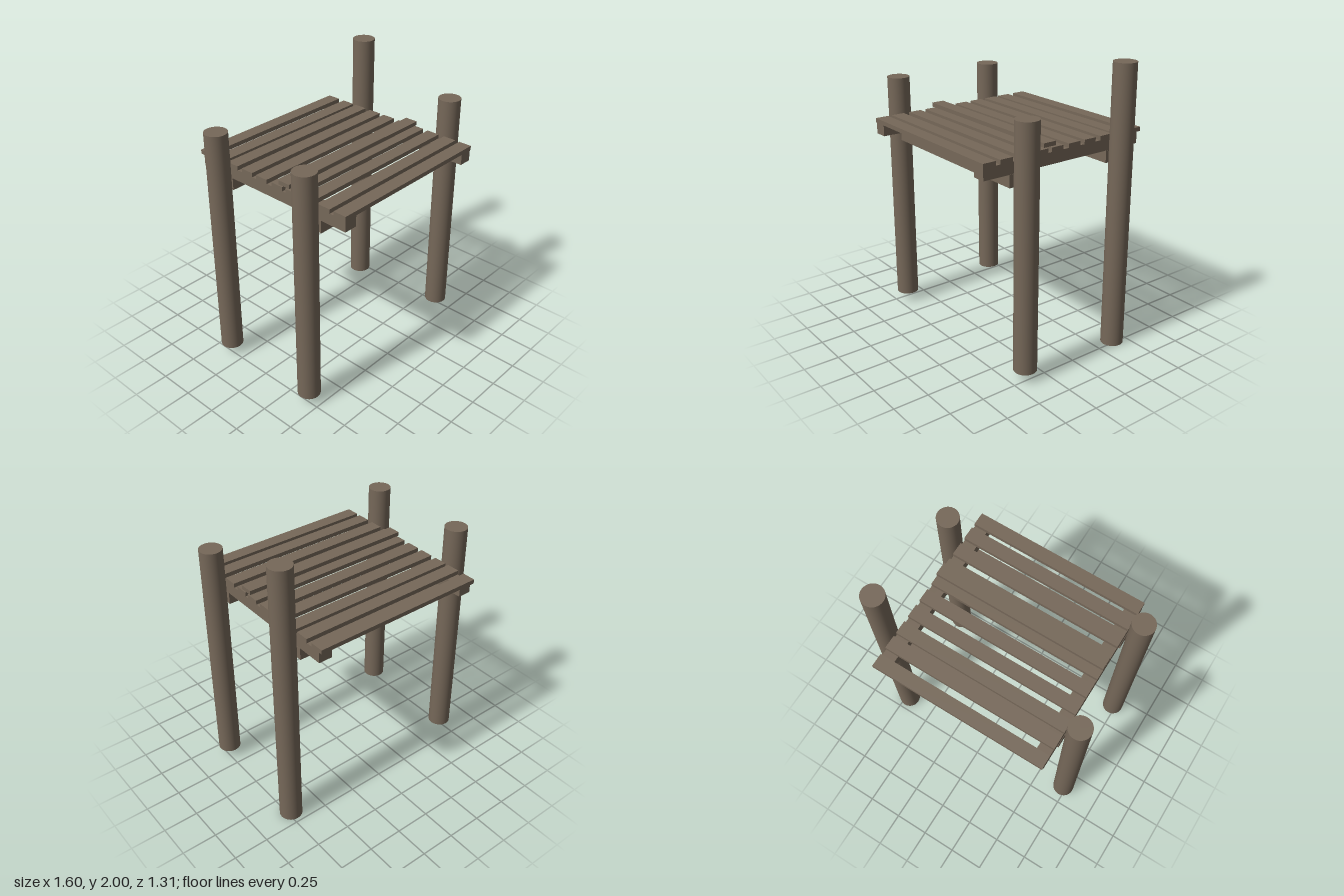
import * as THREE from 'three';

export function createModel() {
  const model = new THREE.Group();
  const wood = new THREE.MeshStandardMaterial({ color: 0x766859 });
  wood.name = 'weathered wood';

  // Box from its min and max corners
  const board = (name, [x0, y0, z0], [x1, y1, z1]) => {
    const mesh = new THREE.Mesh(new THREE.BoxGeometry(x1 - x0, y1 - y0, z1 - z0), wood);
    mesh.position.set((x0 + x1) / 2, (y0 + y1) / 2, (z0 + z1) / 2);
    mesh.name = name;
    model.add(mesh);
  };

  // Round log posts, one of them longer at both ends
  const post = (name, x, z, y0 = 0.068, y1 = 1.757) => {
    const mesh = new THREE.Mesh(new THREE.CylinderGeometry(0.079, 0.079, y1 - y0, 32), wood);
    mesh.position.set(x, (y0 + y1) / 2, z);
    mesh.name = name;
    model.add(mesh);
  };
  post('frontRightPost', -0.725, 0.406);
  post('backRightPost', -0.725, -0.377);
  post('frontLeftPost', 0.721, 0.39);
  post('tallBackLeftPost', 0.721, -0.395, 0, 2);

  // Cross beams resting between the posts
  board('frontBeam', [-0.638, 1.312, 0.36], [0.632, 1.398, 0.452]);
  board('backBeam', [-0.638, 1.312, -0.44], [0.632, 1.398, -0.348]);

  // Side rails on top of the beams
  board('rightRail', [-0.635, 1.398, -0.628], [-0.54, 1.478, 0.646]);
  board('leftRail', [0.535, 1.398, -0.628], [0.63, 1.478, 0.646]);

  // Deck planks, unevenly spaced
  const centres = [-0.608, -0.462, -0.34, -0.202, -0.068, 0.073, 0.197, 0.333, 0.474, 0.602];
  for (const z of centres) board('plank', [-0.638, 1.478, z - 0.048], [0.632, 1.508, z + 0.048]);

  // Loose plank floating just above the deck
  board('loosePlank', [-0.638, 1.518, 0.09], [0.632, 1.547, 0.184]);

  return model;
}
